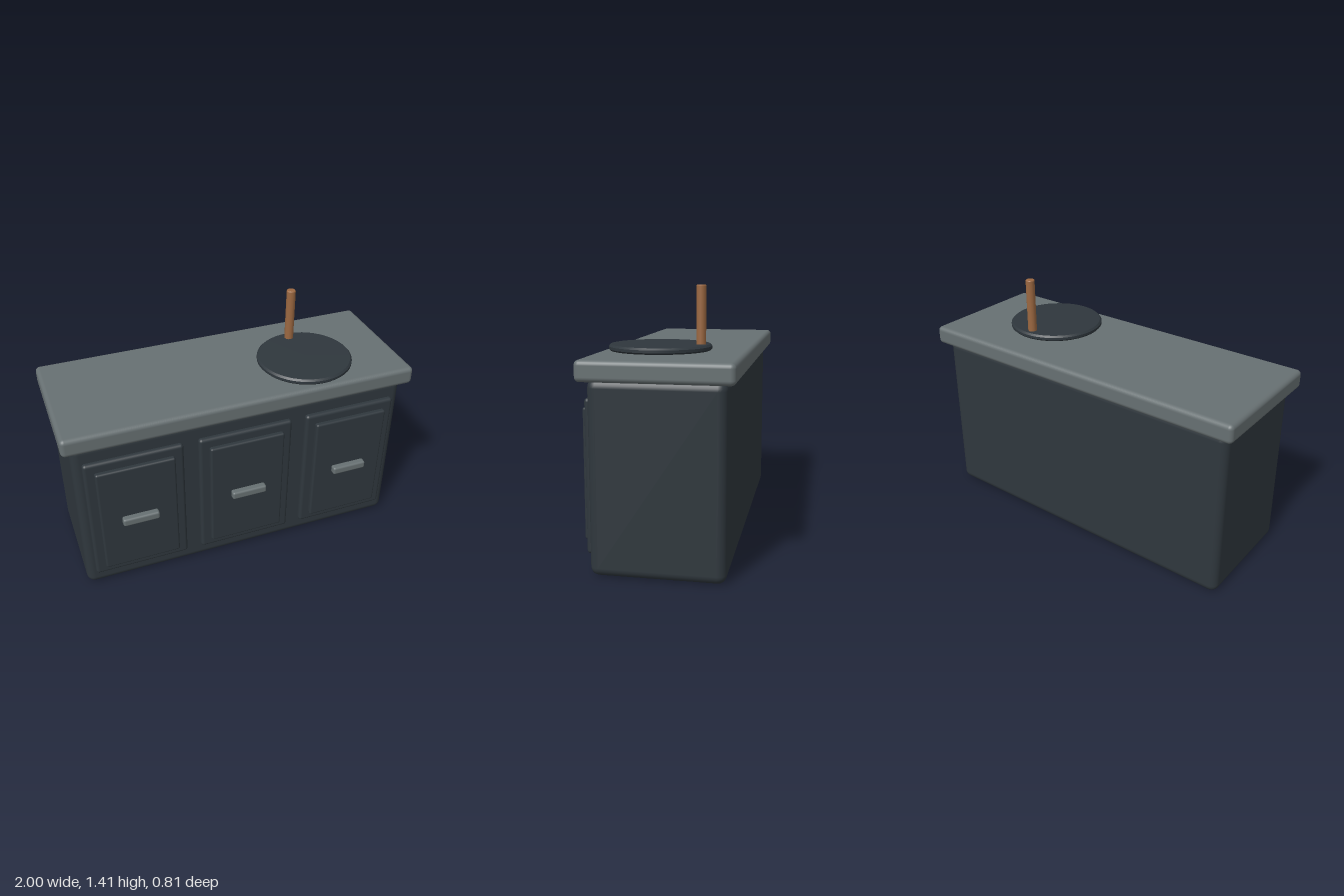
import * as THREE from 'three';
import { RoundedBoxGeometry } from 'three/addons/geometries/RoundedBoxGeometry.js';

const material = (name, color) => {
  const m = new THREE.MeshStandardMaterial({ color });
  m.name = name;
  return m;
};

export function createModel() {
  const group = new THREE.Group();
  const slate = material('dark slate', 0x2f373d);
  const stone = material('grey stone', 0x677072);
  const copper = material('copper', 0x9c6841);

  const add = (name, geometry, mat, x, y, z, parent = group) => {
    const mesh = new THREE.Mesh(geometry, mat);
    mesh.name = name;
    mesh.position.set(x, y, z);
    parent.add(mesh);
    return mesh;
  };

  // Rounded block given by its extents on each axis
  const block = (name, mat, [x0, x1], [y0, y1], [z0, z1], r, parent) =>
    add(name, new RoundedBoxGeometry(x1 - x0, y1 - y0, z1 - z0, 3, r), mat,
      (x0 + x1) / 2, (y0 + y1) / 2, (z0 + z1) / 2, parent);

  // Round upright part with chamfered rims, closed at both ends
  const disc = (radius, height, bevel, sides) => {
    const outline = [[0, 0], [radius - bevel, 0], [radius, bevel],
      [radius, height - bevel], [radius - bevel, height], [0, height]];
    // Doubled corners keep the flat faces crisp
    const points = outline.flatMap(([x, y], i) => {
      const p = new THREE.Vector2(x, y);
      return i === 0 || i === outline.length - 1 ? [p] : [p, p.clone()];
    });
    const flat = new THREE.LatheGeometry(points, sides);
    return flat;
  };

  // Cabinet and worktop
  block('cabinet', slate, [-0.955, 0.955], [0.005, 0.985], [-0.36, 0.315], 0.045);
  block('countertop', stone, [-1, 1], [0.973, 1.078], [-0.404, 0.358], 0.025);

  // Three doors, each with a raised panel and a bar handle
  for (const x of [-0.632, -0.002, 0.628]) {
    const door = new THREE.Group();
    door.name = 'door';
    door.position.x = x;
    group.add(door);
    block('doorFrame', slate, [-0.272, 0.272], [0.1, 0.884], [0.29, 0.342], 0.018, door);
    block('doorPanel', slate, [-0.217, 0.217], [0.155, 0.829], [0.32, 0.368], 0.012, door);
    block('doorHandle', stone, [-0.102, 0.102], [0.468, 0.515], [0.364, 0.407], 0.012, door);
  }

  // Round basin cover and the upright tap behind its centre
  add('sinkDisc', disc(0.27, 0.034, 0.01, 48), slate, 0.455, 1.076, 0.06);
  add('tap', disc(0.026, 0.325, 0.004, 12), copper, 0.455, 1.09, -0.155);

  return group;
}
